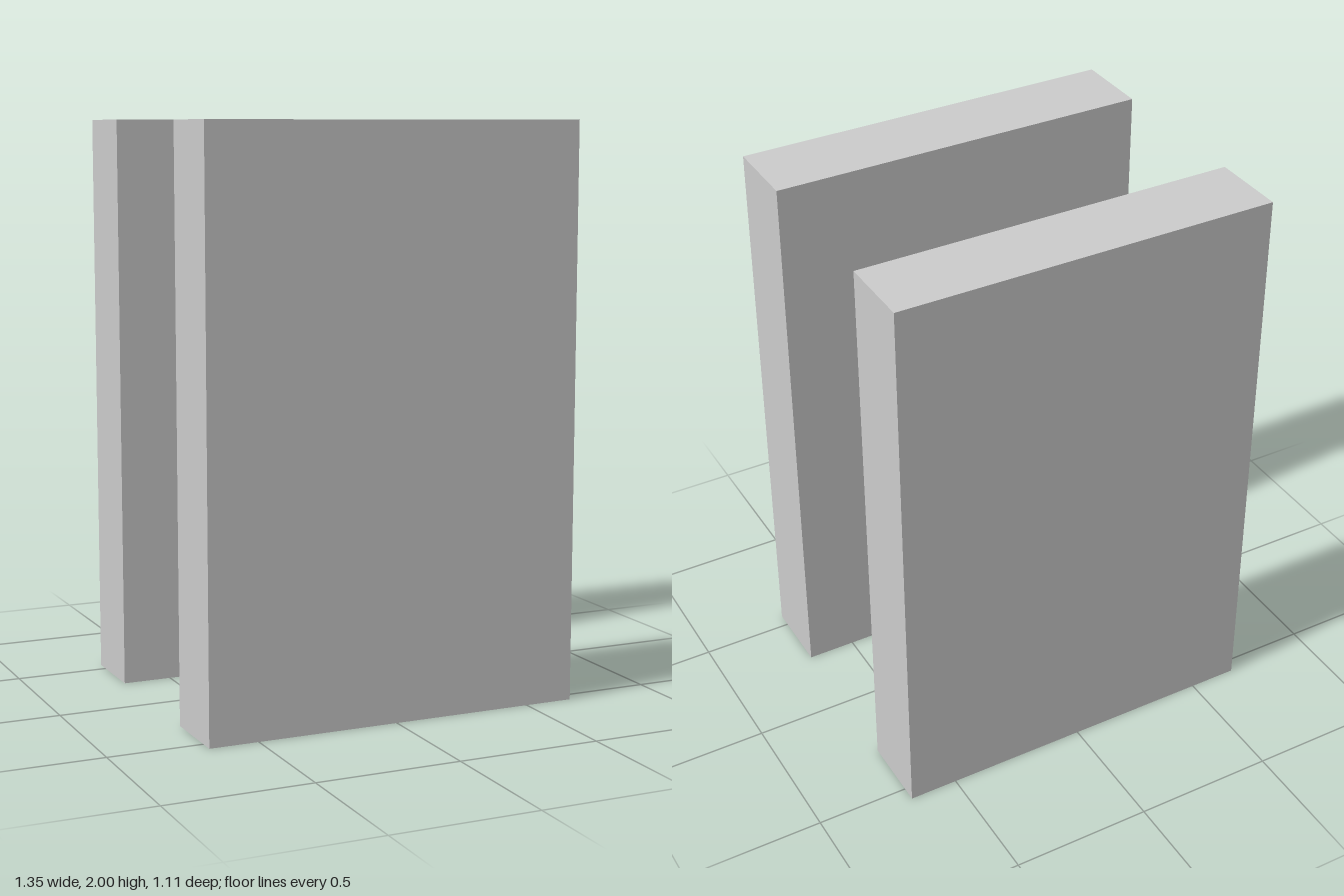
import * as THREE from 'three';

export function createModel() {
  const model = new THREE.Group();
  model.name = 'panelPair';
  const material = new THREE.MeshStandardMaterial({ color: 0xcccccc });
  const width = 1.345, height = 2, depth = 0.27, offset = 0.418;
  const slab = new THREE.BoxGeometry(width, height, depth);

  // Two matching upright slabs, mirrored front to back
  for (const [name, side] of [['frontPanel', 1], ['backPanel', -1]]) {
    const panel = new THREE.Mesh(slab, material);
    panel.name = name;
    panel.position.set(0, height / 2, side * offset);
    model.add(panel);
  }
  return model;
}
